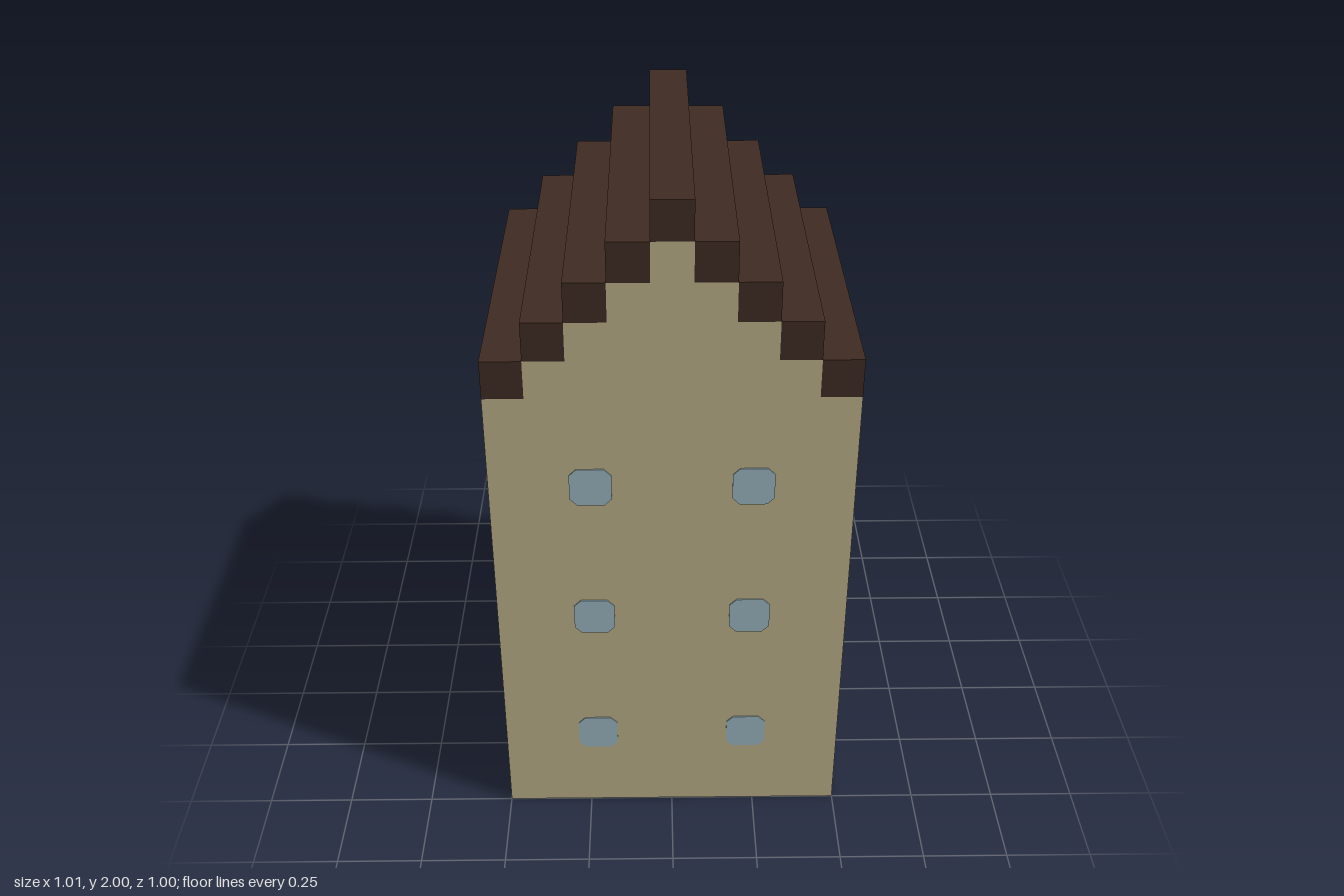
import * as THREE from 'three';

// Built on a block grid: 9 wide, 18 high, 9 deep, scaled down at the end.
const UNIT = 1 / 9;

function material(name, color) {
  const m = new THREE.MeshStandardMaterial({ color });
  m.name = name;
  return m;
}

function polygon(points) {
  return new THREE.Shape(points.map(([x, y]) => new THREE.Vector2(x, y)));
}

// Right half of an outline (bottom to top), mirrored to a closed symmetric one.
function mirrored(half) {
  const other = half.map(([x, y]) => [-x, y]).reverse();
  return polygon([...half, ...other]);
}

export function createModel() {
  const wall = material('sandstone', 0xbdb18a);
  const wood = material('dark wood', 0x402b22);
  const glass = material('pale blue glass', 0x9bb6c2);
  const gold = material('gold', 0xc4983a);
  const stone = material('grey stone', 0x8b8e92);

  const house = new THREE.Group();
  house.name = 'house';
  house.scale.setScalar(UNIT);

  function add(name, geometry, mat, x = 0, y = 0, z = 0) {
    const mesh = new THREE.Mesh(geometry, mat);
    mesh.name = name;
    mesh.position.set(x, y, z);
    house.add(mesh);
    return mesh;
  }
  const box = (name, w, h, d, mat, x, y, z) =>
    add(name, new THREE.BoxGeometry(w, h, d), mat, x, y, z);
  const slab = (shape, depth) =>
    new THREE.ExtrudeGeometry(shape, { depth, bevelEnabled: false });

  // Main walls with stepped gables
  const gable = [[4.5, 0], [4.5, 13]];
  for (let i = 0; i < 4; i++) gable.push([3.5 - i, 13 + i], [3.5 - i, 14 + i]);
  add('walls', slab(mirrored(gable), 8), wall, 0, 0, -3.5);

  // Roof: one beam per step, overhanging the back by one block
  for (let x = -4; x <= 4; x++) {
    box('roofBeam', 1, 1, 9, wood, x, 17.5 - Math.abs(x), 0);
  }

  // Back stall: posts and stepped counter as one outline, with a wooden canopy
  const stall = polygon([
    [-4.5, 0], [4.5, 0], [4.5, 5], [3.5, 5], [3.5, 2], [2.5, 2], [2.5, 1],
    [-2.5, 1], [-2.5, 2], [-3.5, 2], [-3.5, 5], [-4.5, 5],
  ]);
  add('stallFrame', slab(stall, 1), wall, 0, 0, -4.5);
  box('stallCanopy', 9, 1, 1, wood, 0, 5.5, -4);

  // Things in the stall
  box('stoneBlock', 1, 1, 1, stone, 0, 1.5, -4);
  for (const x of [-2, 2]) box('lantern', 1, 1, 1, gold, x, 3.5, -4);
  box('stallDoor', 0.68, 1.75, 0.04, wood, 0, 1.875, -3.52);

  // Windows: thin panes with cut corners
  const r = 0.52, c = 0.34;
  const pane = slab(polygon([
    [c, -r], [r, -c], [r, c], [c, r], [-c, r], [-r, c], [-r, -c], [-c, -r],
  ]), 0.03);
  function addWindow(x, y, z, turn) {
    add('window', pane, glass, x, y, z).rotation.y = turn;
  }
  for (const y of [2.5, 6.5, 10.5]) {
    for (const x of [-2, 2]) {
      addWindow(x, y, 4.5, 0);
      if (y > 6) addWindow(x, y, -3.5, Math.PI);
    }
    for (const z of [-1, 2]) {
      addWindow(4.5, y, z, Math.PI / 2);
      addWindow(-4.5, y, z, -Math.PI / 2);
    }
  }

  const model = new THREE.Group();
  model.name = 'blockHouse';
  model.add(house);
  return model;
}
